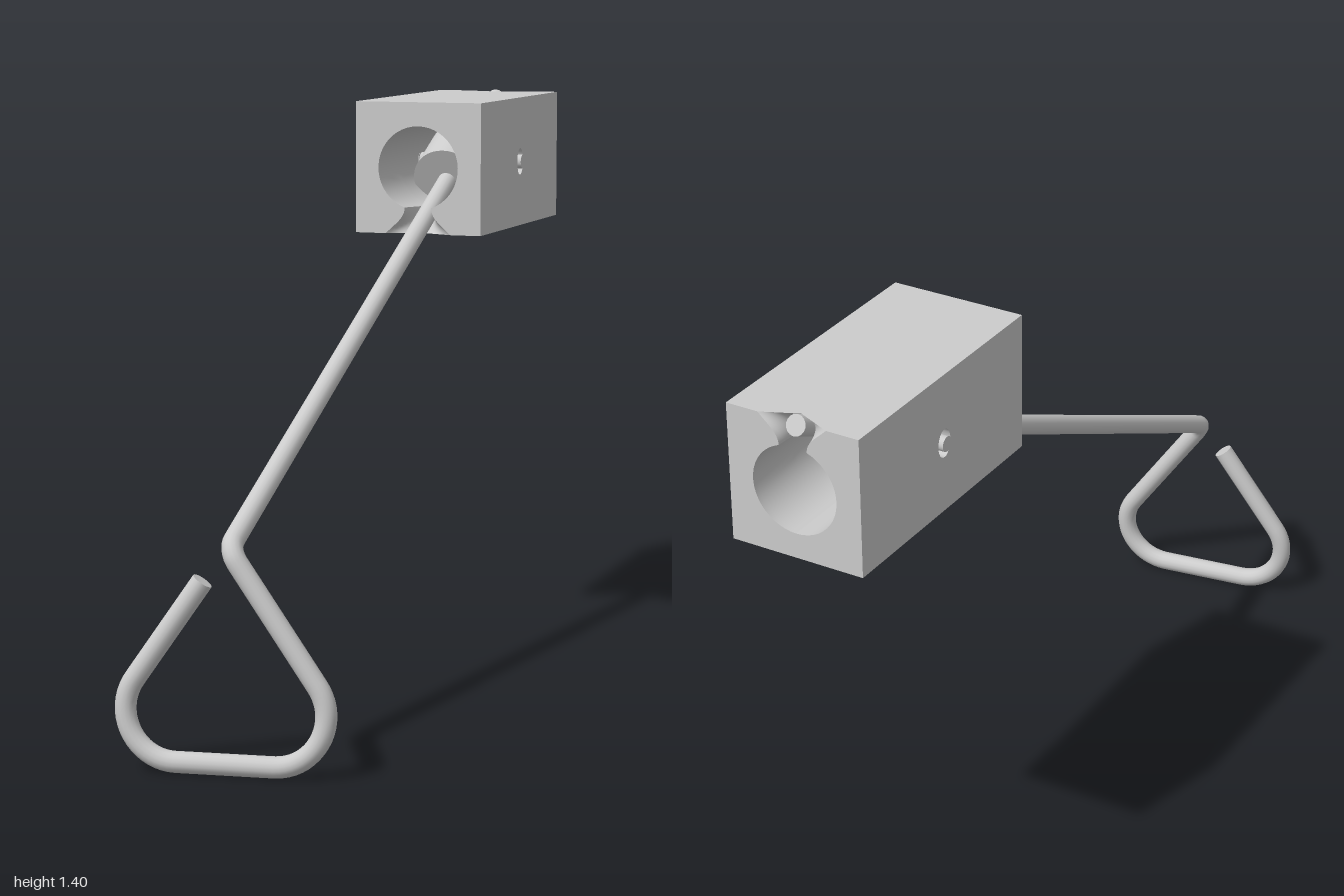
import * as THREE from 'three';
import { mergeGeometries } from 'three/addons/utils/BufferGeometryUtils.js';

const H = 0.165, L = 0.3325, R = 0.105;        // block half width, half length, bore radius
const WIRE = 0.024, SLOPE = 0.467;
const PIVOT = new THREE.Vector3(-0.005, 1.235, -0.6675);
const AXIS = new THREE.Vector3(0, SLOPE, -1).normalize();
const grey = new THREE.MeshStandardMaterial({ color: 0xcccccc });
const greyDouble = new THREE.MeshStandardMaterial({ color: 0xcccccc, side: THREE.DoubleSide });

function addMesh(parent, name, geometry, material = grey) {
  const mesh = new THREE.Mesh(geometry, material);
  mesh.name = name;
  parent.add(mesh);
  return mesh;
}

// Grid surface from a rule (u, v in 0..1) -> [x, y, z]
function surface(rule, nu, nv) {
  const g = new THREE.PlaneGeometry(1, 1, nu, nv);
  const p = g.attributes.position;
  for (let i = 0; i < p.count; i++) p.setXYZ(i, ...rule(p.getX(i) + 0.5, p.getY(i) + 0.5));
  g.computeVertexNormals();
  return g;
}

function flat(points, segments) {
  return new THREE.ShapeGeometry(new THREE.Shape(points.map(([x, y]) => new THREE.Vector2(x, y))), segments);
}

// Flared groove below the bore: t runs from bore to block underside, u across it (-1..1)
function groove(u, t) {
  const d = R + (H - R) * t;
  const start = 0.295 - (H - d) / 0.46;
  const a = Math.abs(u);
  const w = (0.035 + 0.05 * t * t) * Math.pow(a, 0.5 + 0.5 * t);
  const y = -(d - (1 - t) * (R - Math.sqrt(R * R - w * w)));
  return [Math.sign(u) * w, y, start + (L - start) * a];
}

// Angle at which the bore wall begins beside the groove
function slotAngle(z) {
  const start = 0.295 - (H - R) / 0.46;
  const u = Math.max(0, (z - start) / (L - start));
  return Math.asin(0.035 * Math.sqrt(u) / R);
}

// Front half of the block; the rear half is the same part turned about x
function halfBlock() {
  const parts = [];
  for (const s of [-1, 1]) {
    parts.push(surface((u, v) => {
      const z = v * L, a0 = slotAngle(z), a = a0 + (Math.PI - a0) * u;
      return [s * R * Math.sin(a), -R * Math.cos(a), z];
    }, 20, 24));
    // side wall with half of the pin hole
    const side = [[0, -H], [L, -H], [L, H], [0, H]];
    for (let i = 0; i <= 12; i++) {
      const a = Math.PI / 2 - (Math.PI * i) / 12;
      side.push([0.025 * Math.cos(a), 0.034 * Math.sin(a)]);
    }
    parts.push(flat(side).rotateY(-Math.PI / 2).translate(s * H, 0, 0));
  }
  parts.push(surface((u, v) => groove(u * 2 - 1, v), 24, 12));

  // end face with the keyhole opening
  const face = [[-H, -H], [-H, H], [H, H], [H, -H]];
  const flare = [];
  for (let i = 0; i <= 12; i++) flare.push(groove(1, 1 - i / 12));
  flare.forEach(([x, y]) => face.push([x, y]));
  const a0 = slotAngle(L);
  for (let i = 1; i < 40; i++) {
    const a = a0 + ((2 * Math.PI - 2 * a0) * i) / 40;
    face.push([R * Math.sin(a), -R * Math.cos(a)]);
  }
  flare.reverse().forEach(([x, y]) => face.push([-x, y]));
  parts.push(flat(face).translate(0, 0, L));

  // top and notched underside
  parts.push(flat([[-H, 0], [-H, L], [H, L], [H, 0]]).rotateX(Math.PI / 2).translate(0, H, 0));
  parts.push(flat([[-H, 0], [-H, L], [-0.085, L], [0, 0.295], [0.085, L], [H, L], [H, 0]])
    .rotateX(Math.PI / 2).translate(0, -H, 0));
  return mergeGeometries(parts);
}

// Polyline with circular-looking rounded corners; each entry is [x, y, z, radius]
function roundedPath(entries) {
  const pts = entries.map(([x, y, z]) => new THREE.Vector3(x, y, z));
  const path = new THREE.CurvePath();
  let from = pts[0];
  for (let i = 1; i < pts.length - 1; i++) {
    const a = pts[i - 1].clone().sub(pts[i]).normalize();
    const b = pts[i + 1].clone().sub(pts[i]).normalize();
    const turn = Math.PI - a.angleTo(b);
    const t = entries[i][3] * Math.tan(turn / 2);
    const h = t - (4 / 3) * Math.tan(turn / 4) * entries[i][3];
    const at = (dir, dist) => pts[i].clone().addScaledVector(dir, dist);
    path.add(new THREE.LineCurve3(from, at(a, t)));
    path.add(new THREE.CubicBezierCurve3(at(a, t), at(a, h), at(b, h), at(b, t)));
    from = at(b, t);
  }
  path.add(new THREE.LineCurve3(from, pts[pts.length - 1]));
  return path;
}

export function createModel() {
  const model = new THREE.Group();
  model.name = 'wireHandleInBlock';

  // Bored block
  const block = new THREE.Group();
  block.name = 'block';
  block.position.copy(PIVOT);
  model.add(block);
  const half = halfBlock();
  addMesh(block, 'frontHalf', half, greyDouble);
  addMesh(block, 'rearHalf', half, greyDouble).rotation.x = Math.PI;

  // Pin and its holes
  addMesh(block, 'pivotPin', new THREE.CylinderGeometry(0.018, 0.018, 0.344, 20).rotateZ(Math.PI / 2));
  for (const s of [-1, 1]) {
    addMesh(block, 'pinHole', new THREE.CylinderGeometry(1, 1, 0.062, 24, 1, true)
      .scale(0.034, 1, 0.025).rotateZ(Math.PI / 2).translate(s * 0.134, 0, 0), greyDouble);
  }

  // Tilting plug inside the bore
  const plug = addMesh(block, 'plug', new THREE.CylinderGeometry(0.089, 0.089, 0.148, 40));
  plug.quaternion.setFromUnitVectors(new THREE.Vector3(0, 1, 0), AXIS);
  plug.position.copy(AXIS).multiplyScalar(-0.039);

  // Bent wire with the open triangular handle
  const rearZ = -0.985;
  const path = roundedPath([
    [PIVOT.x, PIVOT.y + SLOPE * (PIVOT.z - rearZ), rearZ],
    [PIVOT.x, PIVOT.y - SLOPE * (0.915 - PIVOT.z), 0.915, 0.05],
    [0.322, 0.027, 0.902, 0.115],
    [-0.328, 0.027, 0.992, 0.115],
    [-0.062, 0.425, 0.925],
  ]);
  const wire = new THREE.Group();
  wire.name = 'wire';
  model.add(wire);
  addMesh(wire, 'wireRod', new THREE.TubeGeometry(path, 260, WIRE, 16));
  for (const end of [0, 1]) {
    const cap = addMesh(wire, 'wireEnd', new THREE.CircleGeometry(WIRE, 16));
    cap.position.copy(path.getPointAt(end));
    cap.quaternion.setFromUnitVectors(new THREE.Vector3(0, 0, 1),
      path.getTangentAt(end).multiplyScalar(end ? 1 : -1).normalize());
  }
  return model;
}
